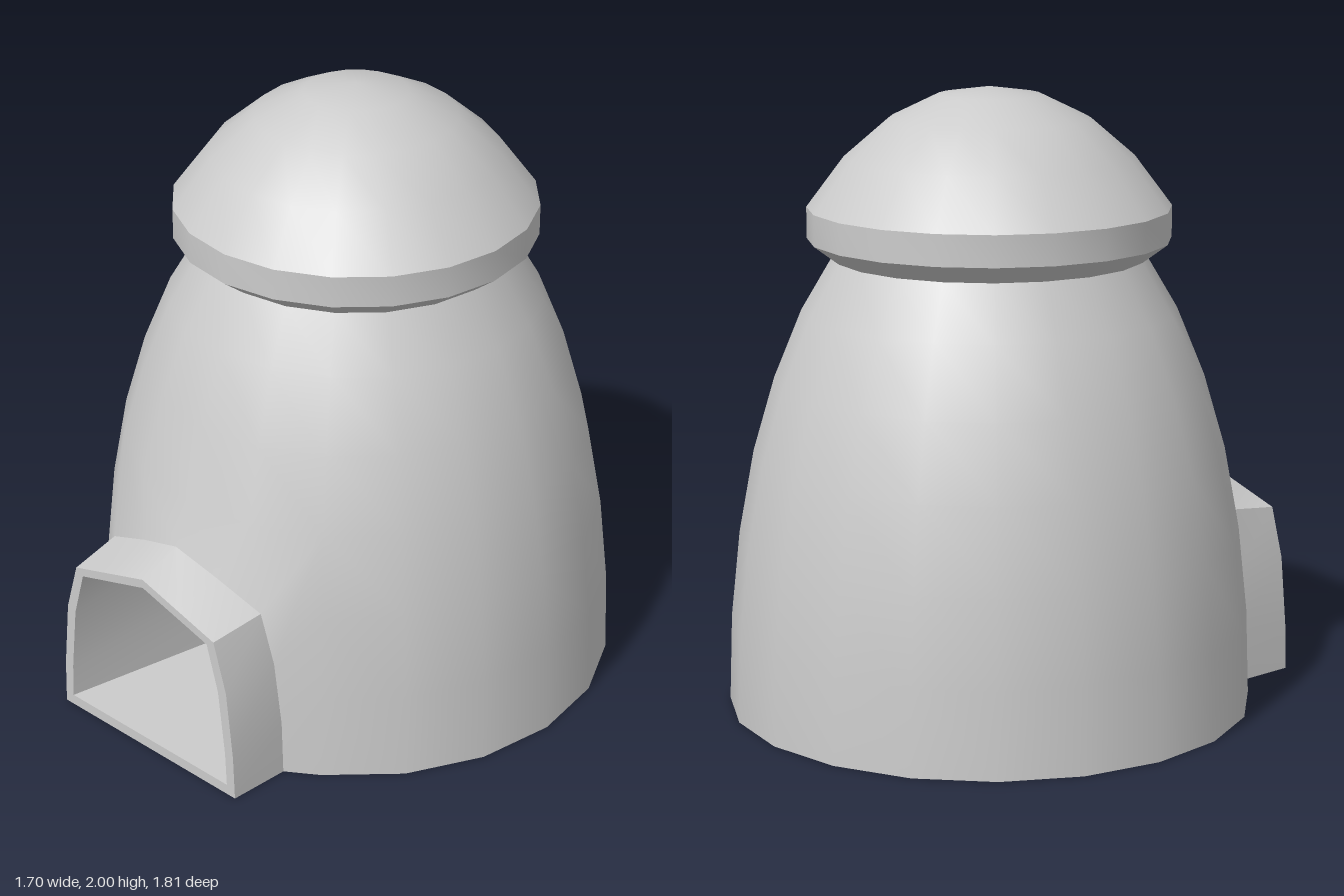
import * as THREE from 'three';
import { mergeGeometries, mergeVertices, toCreasedNormals } from 'three/addons/utils/BufferGeometryUtils.js';

const CENTRE_Z = -0.055;
const SIDES = 20;
const STEP = (Math.PI * 2) / SIDES;
const material = new THREE.MeshStandardMaterial({ color: 0xcccccc, side: THREE.DoubleSide });

// Lathe around the tower axis, leaving out `gap` facets on each side of the front
function turned(profile, gap = 0) {
  const points = profile.map(([r, y]) => new THREE.Vector2(r, y));
  const g = new THREE.LatheGeometry(points, SIDES - 2 * gap, gap * STEP, (SIDES - 2 * gap) * STEP);
  g.translate(0, 0, CENTRE_Z);
  g.deleteAttribute('uv');
  g.deleteAttribute('normal');
  return g;
}

// Skin between successive loops of equal length
function loft(loops, closed) {
  const n = loops[0].length;
  const index = [];
  for (let l = 0; l < loops.length - 1; l++) {
    for (let i = 0; i < (closed ? n : n - 1); i++) {
      const a = l * n + i, b = l * n + ((i + 1) % n);
      index.push(a, b, a + n, b, b + n, a + n);
    }
  }
  const g = new THREE.BufferGeometry();
  g.setAttribute('position', new THREE.Float32BufferAttribute(loops.flat(2), 3));
  g.setIndex(index);
  return g;
}

// Mirror half an arch (base to crown) into a full one
const arch = (half) => [...half, ...half.slice(0, -1).reverse().map(([x, y, z]) => [-x, y, z])];
const atDepth = (half, z) => half.map(([x, y]) => [x, y, z]);

// Point on the tower wall, a number of facets from the front
const onWall = (r, y, facets) => [r * Math.sin(facets * STEP), y, CENTRE_Z + r * Math.cos(facets * STEP)];

function smooth(parts) {
  const g = mergeVertices(mergeGeometries(parts), 1e-4);
  return toCreasedNormals(g, 0.62);
}

export function createModel() {
  const group = new THREE.Group();
  const add = (name, geometry) => {
    const mesh = new THREE.Mesh(geometry, material);
    mesh.name = name;
    group.add(mesh);
  };

  // Tower wall, with the front left open below the entrance collar
  const lower = [[0.85, 0], [0.84, 0.28], [0.81, 0.56], [0.76, 0.83]];
  const upper = [[0.76, 0.83], [0.69, 1.07], [0.6, 1.29], [0.5, 1.46]];

  // Arches running from the wall out to the mouth
  const collar = arch([
    ...lower.map(([r, y]) => onWall(r, y, 2)),
    onWall(0.76, 0.83, 1),
    onWall(0.76, 0.83, 0),
  ]);
  const neck = arch([
    [0.4, 0, 0.7], [0.395, 0.18, 0.7], [0.375, 0.4, 0.71],
    [0.33, 0.57, 0.72], [0.16, 0.64, 0.745], [0, 0.69, 0.76],
  ]);
  const mouth = arch(atDepth(
    [[0.39, 0], [0.385, 0.15], [0.36, 0.38], [0.31, 0.545], [0.155, 0.59], [0, 0.635]], 0.905));
  const rim = arch(atDepth(
    [[0.355, 0.035], [0.35, 0.15], [0.325, 0.37], [0.28, 0.525], [0.14, 0.565], [0, 0.605]], 0.905));
  const inner = arch(atDepth(
    [[0.23, 0.035], [0.23, 0.15], [0.23, 0.28], [0.215, 0.54], [0.12, 0.57], [0, 0.6]], 0.25));
  inner[0] = [0.36, 0.035, 0.2];

  add('towerAndEntrance', smooth([
    turned(lower, 2),
    turned(upper),
    loft([collar, neck], false),
    loft([neck, mouth], true),
  ]));
  add('entranceTunnel', smooth([loft([mouth, rim, inner], true)]));

  // Overhanging domed cap
  add('cap', smooth([turned([
    [0.5, 1.46], [0.58, 1.52], [0.58, 1.62], [0.46, 1.78], [0.32, 1.9], [0.165, 1.975], [0, 2],
  ])]));

  return group;
}
